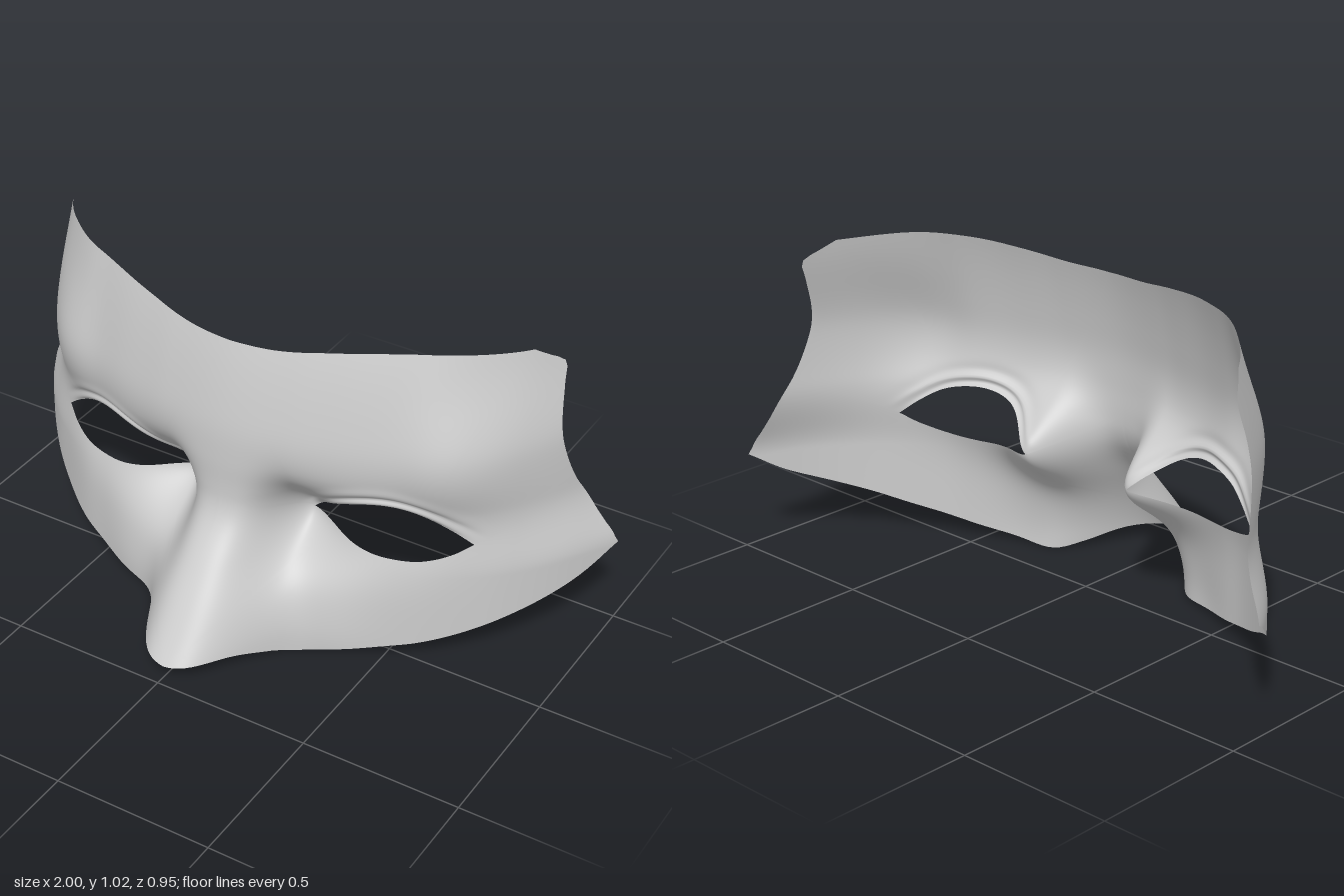
import * as THREE from 'three';
import { mergeGeometries, mergeVertices } from 'three/addons/utils/BufferGeometryUtils.js';

const curve = (...p) => new THREE.CatmullRomCurve3(p.map(([x, y]) => new THREE.Vector3(x, y, 0)));
const table = (xs, ys) => {
  const f = new THREE.CubicInterpolant(xs, ys, 1);
  return x => f.evaluate(x)[0];
};
const bell = (d, w, power = 2) => Math.exp(-Math.pow(Math.abs(d) / w, power));
const step = THREE.MathUtils.smoothstep;

// Horizontal wrap around the face, and the profile down the centre line
const wrap = table(
  [-0.2, 0, 0.2, 0.3, 0.4, 0.5, 0.6, 0.7, 0.8, 0.9, 1],
  [0.14, 0.165, 0.14, 0.115, 0.085, 0.045, 0, -0.07, -0.16, -0.29, -0.475]);
const profile = table(
  [0, 0.04, 0.1, 0.2, 0.3, 0.4, 0.45, 0.5, 0.6, 0.7, 0.8, 0.9, 0.97, 1.03],
  [0.5, 0.47, 0.425, 0.35, 0.27, 0.19, 0.17, 0.165, 0.165, 0.16, 0.143, 0.12, 0.1, 0.08]);

// Depth of the mask at (x, y); x is the distance from the centre line
function depth(x, y, side) {
  const ax = side < 0 ? x - 0.04 * x ** 3 : x;
  let z = wrap(ax);
  // nose below the brow, receding forehead above it
  const c = profile(y) - 0.165;
  const noseWidth = THREE.MathUtils.lerp(0.19, 0.13, step(y, 0.05, 0.45));
  z += c > 0 ? c * bell(x, noseWidth, 3) : c;
  // temples turn further back, behind a fuller outer brow
  const upperTemple = side < 0 ? 0.025 : 0.075;
  z -= (ax / 0.85) ** 6 * (0.067 * step(y, 0.3, 0.52) + upperTemple * step(y, 0.7, 1));
  z += 0.045 * bell(x - 0.7, 0.14) * bell(y - 0.69, 0.19);
  // deep inner eye socket, shallow recess around the eye, cheek
  z -= 0.185 * (x < 0.205 ? bell(x - 0.205, 0.085) : bell(x - 0.205, 0.18, 1.5))
    * bell(y - 0.39, y < 0.39 ? 0.13 : 0.135);
  z -= 0.035 * bell(x - 0.53, 0.2) * bell(y - 0.47, 0.12);
  z += 0.015 * bell(x - 0.35, 0.13) * bell(y - 0.04, 0.13);
  return z;
}

// Eye opening: upper lid from inner to outer corner, lower lid back again
const upperLid = curve([0.205, 0.387], [0.27, 0.445], [0.35, 0.498], [0.43, 0.522],
  [0.5, 0.523], [0.58, 0.503], [0.65, 0.46], [0.71, 0.41]);
const lowerLid = curve([0.71, 0.41], [0.66, 0.378], [0.58, 0.352], [0.48, 0.345],
  [0.38, 0.355], [0.28, 0.374], [0.205, 0.387]);
const centreLine = curve([0, 0.04], [0, 0.35], [0, 0.65], [0, 0.975]);

// Outer edge of each half: top, side, bottom
const edges = {
  left: [
    curve([0, 0.975], [0.15, 0.98], [0.3, 1.0], [0.45, 1.017], [0.6, 1.02], [0.77, 1.0]),
    curve([0.77, 1.0], [0.8, 0.972], [0.83, 0.94], [0.84, 0.88], [0.86, 0.75], [0.9, 0.53],
      [0.93, 0.445], [0.96, 0.385], [0.985, 0.34], [1, 0.3]),
    curve([1, 0.3], [0.93, 0.22], [0.75, 0.12], [0.6, 0.067], [0.4, 0.022], [0.27, 0],
      [0.21, 0.02], [0.14, 0.05], [0, 0.04])],
  right: [
    curve([0, 0.975], [0.15, 0.98], [0.3, 1.0], [0.45, 1.017], [0.6, 1.02], [0.72, 1.01], [0.84, 0.987]),
    curve([0.84, 0.987], [0.868, 0.957], [0.893, 0.925], [0.9, 0.8], [0.915, 0.6], [0.93, 0.48],
      [0.965, 0.4], [1, 0.33]),
    curve([1, 0.33], [0.92, 0.23], [0.78, 0.14], [0.65, 0.075], [0.5, 0.035], [0.3, 0.01],
      [0.24, 0.015], [0.17, 0.055], [0, 0.04])],
};

function outerPoint(t, [top, sideEdge, bottom]) {
  if (t < 0.1) t += 1;
  if (t < 0.38) return top.getPointAt((t - 0.1) / 0.28);
  if (t < 0.56) return sideEdge.getPointAt((t - 0.38) / 0.18);
  if (t < 0.9) return bottom.getPointAt((t - 0.56) / 0.34);
  return centreLine.getPointAt(Math.min((t - 0.9) / 0.2, 1));
}

// One half: rings running from the eye opening to the outer edge
function halfMask(side) {
  const around = 200, rings = 48, pos = [], index = [];
  const outline = side > 0 ? edges.left : edges.right;
  for (let i = 0; i < around; i++) {
    const t = i / around;
    const eye = t < 0.5 ? upperLid.getPointAt(t * 2) : lowerLid.getPointAt(t * 2 - 1);
    const outer = outerPoint(t, outline);
    const span = eye.distanceTo(outer);
    const lid = t < 0.5 ? Math.sin(t * 2 * Math.PI) : 0;
    for (let j = 0; j <= rings; j++) {
      const s = Math.pow(j / rings, 1.6);
      const p = eye.clone().lerp(outer, s);
      const d = s * span;
      // upper lid: rolled rim with a crease above it
      const fold = lid * (0.006 * bell(d - 0.012, 0.01) - 0.008 * bell(d - 0.03, 0.009)
        + 0.005 * bell(d - 0.05, 0.018) - 0.006 * bell(d, 0.006));
      pos.push(side * p.x, p.y, depth(p.x, p.y, side) + fold);
      if (j === rings) continue;
      const row = rings + 1;
      const a = i * row + j, b = ((i + 1) % around) * row + j;
      if (side > 0) index.push(a, b, a + 1, b, b + 1, a + 1);
      else index.push(a, a + 1, b, b, a + 1, b + 1);
    }
  }
  const g = new THREE.BufferGeometry();
  g.setAttribute('position', new THREE.Float32BufferAttribute(pos, 3));
  g.setIndex(index);
  return g;
}

export function createModel() {
  const group = new THREE.Group();
  group.name = 'halfFaceMask';
  // both halves welded along the centre line for smooth shading
  const geometry = mergeVertices(mergeGeometries([halfMask(1), halfMask(-1)]), 1e-5);
  geometry.computeVertexNormals();
  const mask = new THREE.Mesh(geometry,
    new THREE.MeshStandardMaterial({ color: 0xcccccc, side: THREE.DoubleSide }));
  mask.name = 'maskShell';
  group.add(mask);
  return group;
}
